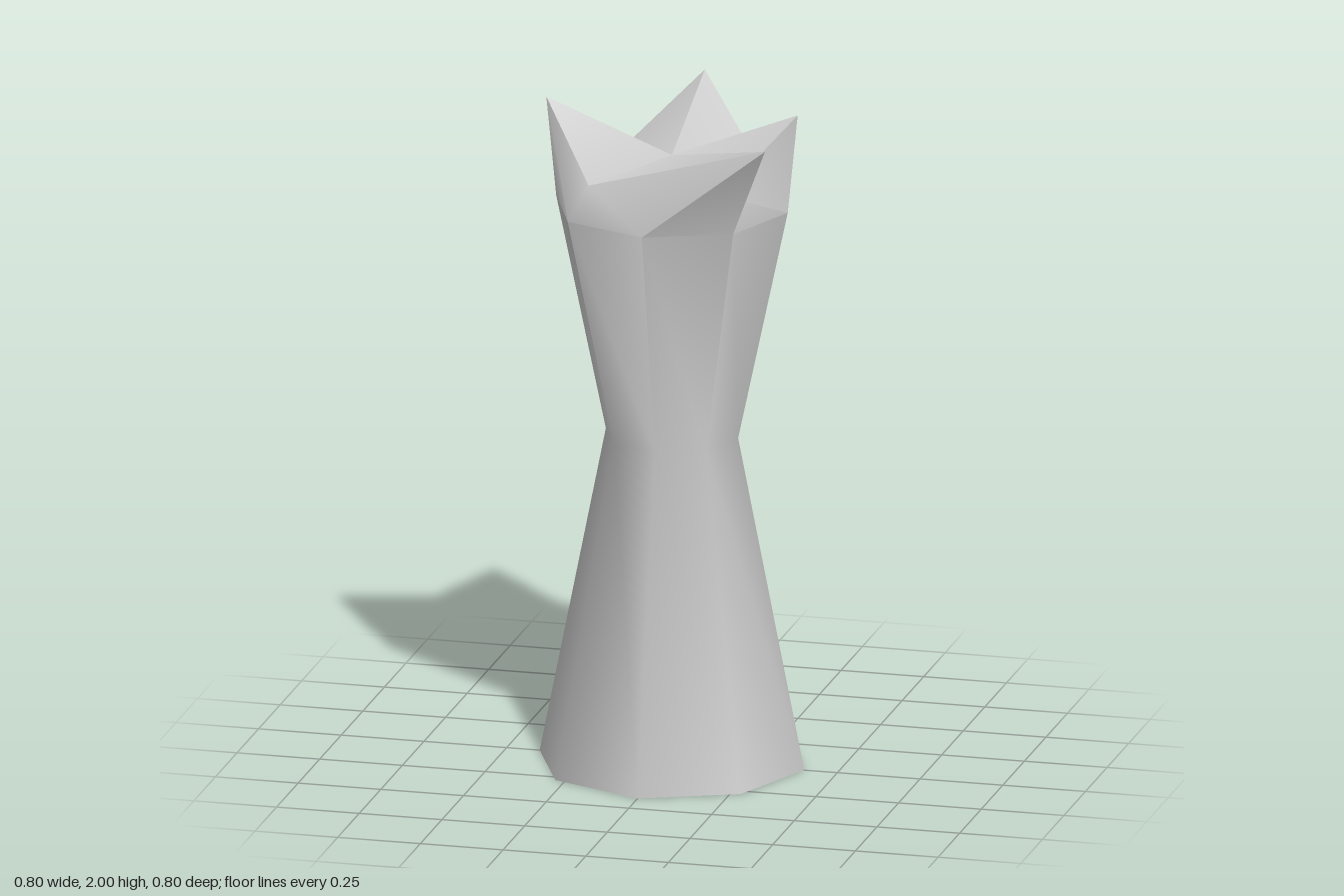
import * as THREE from 'three';
import { toCreasedNormals } from 'three/addons/utils/BufferGeometryUtils.js';

const SIDES = 8;

// Octagonal ring: r on the axes, d on both coordinates of the diagonals.
function ring(y, r, d) {
  return Array.from({ length: SIDES }, (_, i) => {
    const a = (i * Math.PI) / 4;
    const sx = Math.sign(Math.round(Math.cos(a) * 10));
    const sz = Math.sign(Math.round(Math.sin(a) * 10));
    const s = i % 2 ? d : r;
    return [sx * s, y, sz * s];
  });
}

function mesh(name, points, index) {
  const geometry = new THREE.BufferGeometry();
  geometry.setAttribute('position', new THREE.Float32BufferAttribute(points.flat(), 3));
  geometry.setIndex(index);
  const m = new THREE.Mesh(
    toCreasedNormals(geometry, 1.05),
    new THREE.MeshStandardMaterial({ color: 0xcccccc })
  );
  m.name = name;
  return m;
}

// Fan from a centre point to a ring, facing up or down.
function cap(name, points, centreY, up) {
  const index = [];
  for (let i = 0; i < SIDES; i++) {
    const j = (i + 1) % SIDES;
    index.push(SIDES, up ? j : i, up ? i : j);
  }
  return mesh(name, [...points, [0, centreY, 0]], index);
}

export function createModel() {
  const group = new THREE.Group();
  group.name = 'waistedColumn';

  // Jagged rim: peaks on the axes, notches on the diagonals
  const rim = ring(2, 0.38, 0.2);
  rim.forEach((p, i) => { if (i % 2) p[1] = 1.8; });
  rim[2] = [0.38, 2, 0.38]; // front peak leans out to the corner

  const base = ring(0, 0.4, 0.28);
  const rings = [base, ring(1, 0.2, 0.14), ring(1.7, 0.35, 0.25), rim];

  // Walls joining one ring to the next
  const index = [];
  for (let k = 0; k < rings.length - 1; k++) {
    for (let i = 0; i < SIDES; i++) {
      const j = (i + 1) % SIDES;
      const a = k * SIDES;
      const b = a + SIDES;
      index.push(a + i, b + i, b + j, a + i, b + j, a + j);
    }
  }

  group.add(
    mesh('body', rings.flat(), index),
    cap('crownTop', rim, 1.85, true),
    cap('baseBottom', base, 0, false)
  );
  return group;
}
